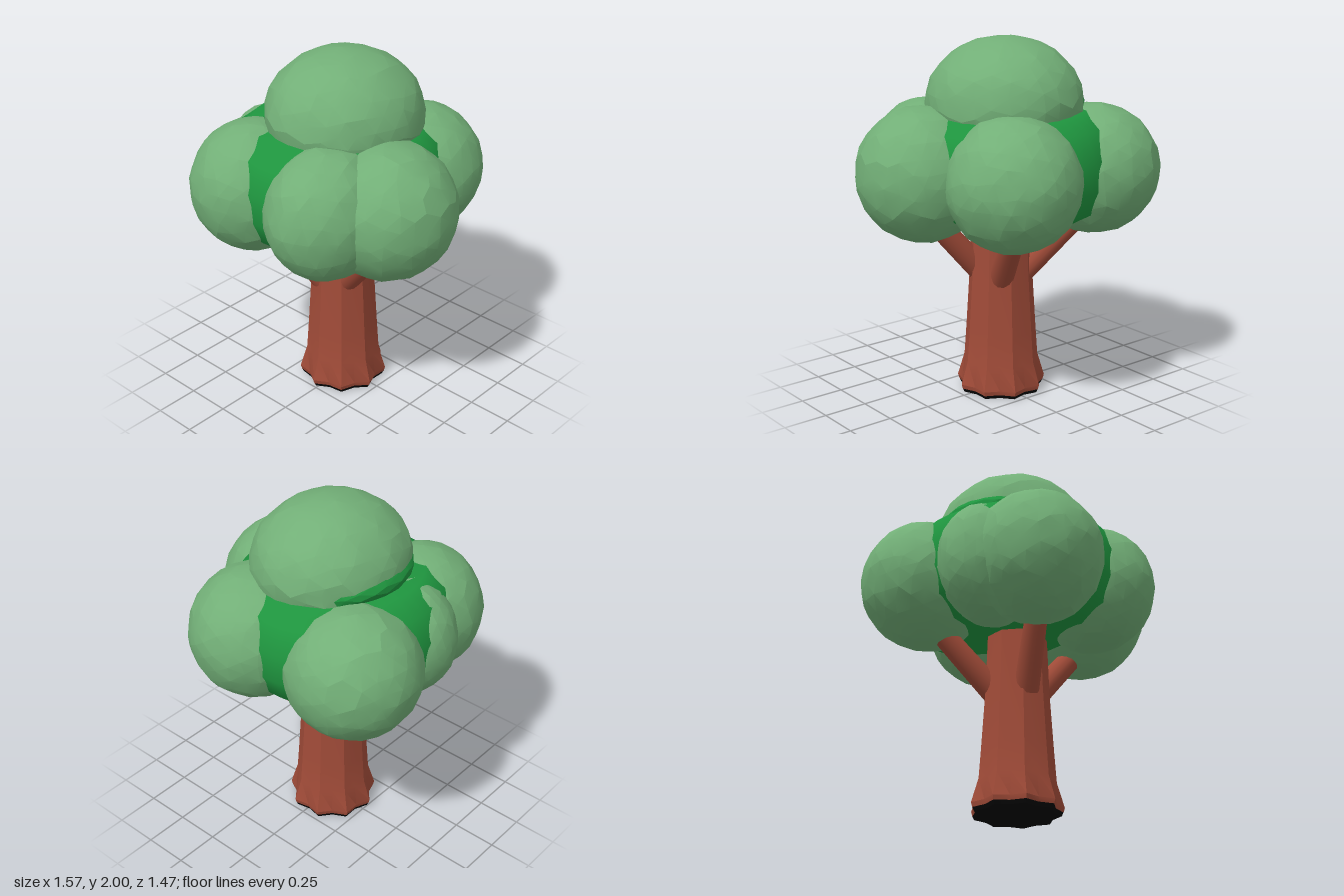
import * as THREE from 'three';
import { mergeVertices, toCreasedNormals } from 'three/addons/utils/BufferGeometryUtils.js';

const mat = (name, color) => {
  const m = new THREE.MeshStandardMaterial({ color });
  m.name = name;
  return m;
};

// Repeatable noise in -1..1
function seeded(seed) {
  let s = seed;
  return () => ((s = (s * 16807) % 2147483647) / 2147483647) * 2 - 1;
}

// Joins split vertices so they can be moved together
function weld(geo) {
  geo.deleteAttribute('uv');
  geo.deleteAttribute('normal');
  return mergeVertices(geo, 1e-4);
}

// Slightly lumpy ellipsoid
function blobGeometry([rx, ry, rz], seed) {
  const geo = weld(new THREE.IcosahedronGeometry(1, 4));
  const rand = seeded(seed);
  const p = geo.attributes.position;
  const v = new THREE.Vector3();
  for (let i = 0; i < p.count; i++) {
    v.fromBufferAttribute(p, i);
    v.x += rand() * 0.035;
    v.y += rand() * 0.035;
    v.z += rand() * 0.035;
    v.normalize().multiplyScalar(1 + rand() * 0.01);
    p.setXYZ(i, v.x * rx, v.y * ry, v.z * rz);
  }
  geo.rotateY(seed);
  geo.computeVertexNormals();
  return toCreasedNormals(geo, 0.25);
}

// Lathe whose alternate columns are pulled in to form flutes
function flutedLathe(profile, sides, depth) {
  const pts = profile.map(([r, y]) => new THREE.Vector2(r, y));
  const geo = weld(new THREE.LatheGeometry(pts, sides));
  const p = geo.attributes.position;
  for (let i = 0; i < p.count; i++) {
    const x = p.getX(i), y = p.getY(i), z = p.getZ(i);
    const column = Math.round(Math.atan2(x, z) / (Math.PI * 2 / sides));
    const k = Math.abs(column) % 2 ? 1 - depth(y) : 1;
    p.setXYZ(i, x * k, y, z * k);
  }
  return toCreasedNormals(geo, 0.45);
}

export function createModel() {
  const model = new THREE.Group();
  const leaf = mat('leaf green', 0x72af77);
  const shade = mat('deep green', 0x1f963f);
  const bark = mat('bark', 0xa04b38);
  const black = mat('black', 0x050505);
  shade.side = bark.side = black.side = THREE.DoubleSide;

  const add = (name, geo, material, x = 0, y = 0, z = 0) => {
    const mesh = new THREE.Mesh(geo, material);
    mesh.name = name;
    mesh.position.set(x, y, z);
    model.add(mesh);
    return mesh;
  };

  // Trunk with flared, fluted base
  const flute = (y) => (y < 0.1 ? 0.13 : 0.05);
  add('trunk', flutedLathe(
    [[0.245, 0.02], [0.252, 0.045], [0.212, 0.18], [0.2, 0.35], [0.178, 0.7], [0.165, 1.1]],
    18, flute), bark, -0.015);
  add('trunkUnderside', flutedLathe(
    [[0, 0.004], [0.235, 0], [0.245, 0.022]], 18, flute), black, -0.015);

  // Branches reaching into the crown
  const branches = [
    [[-0.07, 0.66, 0.11], [-0.24, 1.08, 0.33]],
    [[0.05, 0.66, 0.06], [0.4, 1.06, 0.13]],
    [[0.05, 0.66, -0.08], [0.19, 1.08, -0.4]],
    [[-0.08, 0.66, -0.07], [-0.42, 1.06, -0.28]],
  ];
  for (const [from, to] of branches) {
    const a = new THREE.Vector3(...from), b = new THREE.Vector3(...to);
    const dir = b.clone().sub(a);
    const geo = new THREE.CylinderGeometry(0.06, 0.07, dir.length(), 14);
    const mid = a.clone().add(b).multiplyScalar(0.5);
    add('branch', geo, bark, mid.x, mid.y, mid.z)
      .quaternion.setFromUnitVectors(new THREE.Vector3(0, 1, 0), dir.normalize());
  }

  // Dark inner crown seen in the gaps between the clumps
  const core = [[0, 1.0], [0.4, 1.0], [0.54, 1.08], [0.6, 1.22], [0.605, 1.38],
    [0.55, 1.53], [0.44, 1.61], [0, 1.66]].map(([r, y]) => new THREE.Vector2(r, y));
  add('innerCrown', new THREE.LatheGeometry(core, 40), shade, -0.06, 0, 0.01)
    .scale.z = 1.03;
  const collar = add('innerCrownCollar', blobGeometry([0.415, 0.15, 0.41], 5), shade, -0.05, 1.61, -0.02);
  collar.rotation.z = -0.13;

  // Leaf clumps: name, centre, radii
  const clumps = [
    ['frontRightClump', [-0.31, 1.275, 0.375], [0.35, 0.365, 0.357]],
    ['rightClump', [-0.4, 1.275, 0.12], [0.31, 0.345, 0.26]],
    ['backRightClump', [-0.42, 1.275, -0.31], [0.365, 0.36, 0.365]],
    ['backLeftClump', [0.2, 1.28, -0.37], [0.36, 0.365, 0.37]],
    ['leftClump', [0.42, 1.28, 0.125], [0.362, 0.37, 0.37]],
    ['frontLeftClump', [0.215, 1.285, 0.365], [0.315, 0.36, 0.355]],
    ['topClump', [-0.02, 1.65, -0.02], [0.42, 0.35, 0.445]],
  ];
  clumps.forEach(([name, c, r], i) => {
    // Undo the spin of the lumps on the axes that differ
    const geo = blobGeometry([1, 1, 1], 11 + i * 7);
    geo.scale(...r);
    add(name, toCreasedNormals(geo, 0.25), leaf, ...c);
  });
  model.getObjectByName('topClump').rotation.z = -0.06;

  return model;
}
